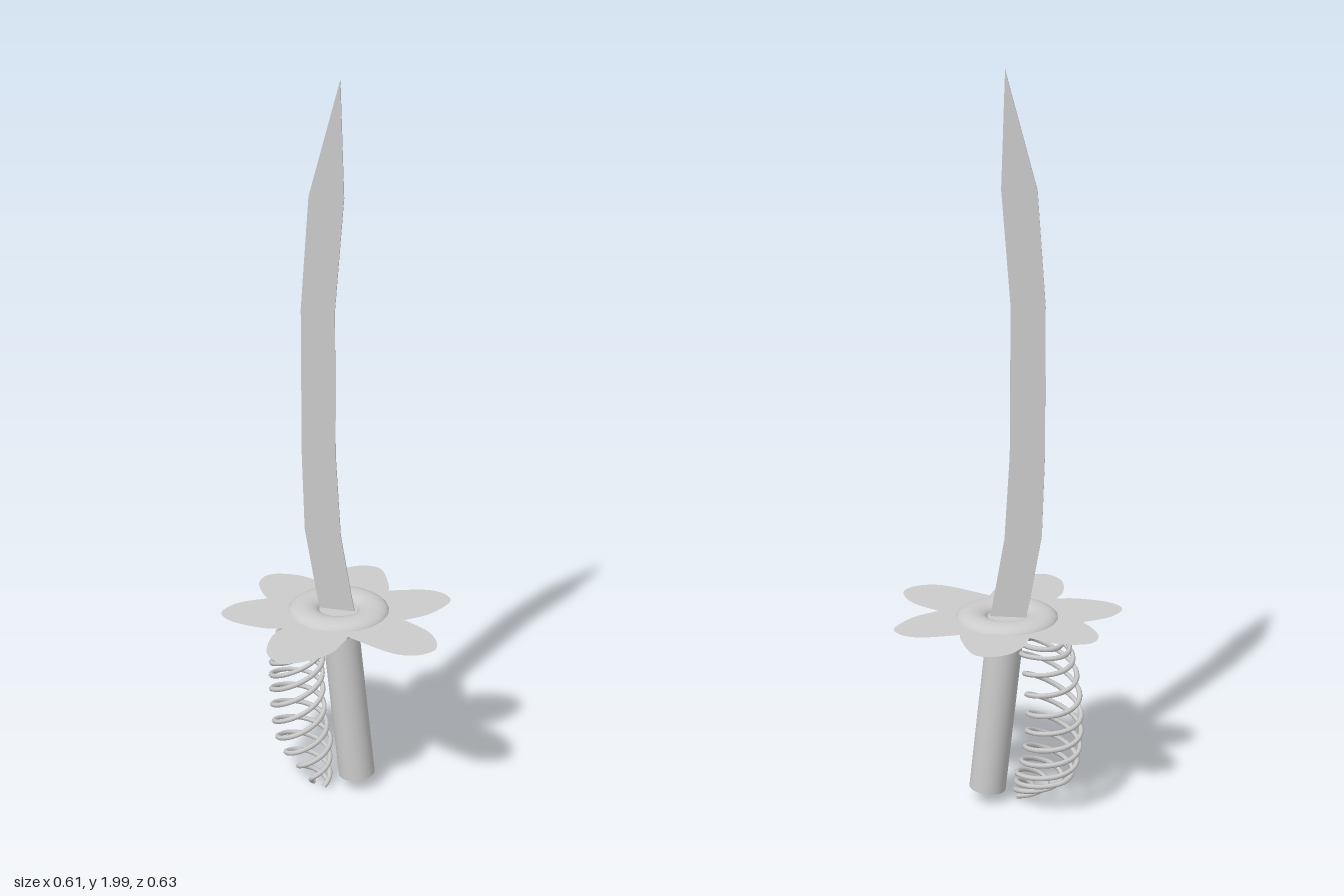
import * as THREE from 'three';

const AXIS_Z = -0.025; // blade, ring and grip share this depth
const V = (x, y, z) => new THREE.Vector3(x, y, z);

export function createModel() {
  const group = new THREE.Group();
  const grey = new THREE.MeshStandardMaterial({ color: 0xcccccc });
  const thin = new THREE.MeshStandardMaterial({ color: 0xcccccc, side: THREE.DoubleSide });
  const add = (name, geometry, material = grey) => {
    const mesh = new THREE.Mesh(geometry, material);
    mesh.name = name;
    group.add(mesh);
    return mesh;
  };

  // Curved blade, a thin plate
  const outline = [
    [-0.05, 0.54], [0.047, 0.54], [0.035, 0.6], [0.006, 0.77], [-0.008, 1.0], [-0.01, 1.4],
    [0.014, 1.7], [0.004, 2.0], [-0.078, 1.7], [-0.1, 1.4], [-0.1, 1.0], [-0.093, 0.78], [-0.062, 0.6],
  ];
  const bladeShape = new THREE.Shape(outline.map(([x, y]) => new THREE.Vector2(x, y)));
  const blade = new THREE.ExtrudeGeometry(bladeShape, { depth: 0.004, bevelEnabled: false });
  add('blade', blade.translate(0, 0, AXIS_Z - 0.002));

  // Flower guard: each petal runs from one notch to the next, points as [x, z]
  const petals = [
    [[0.18, -0.195], [0.225, -0.2], [0.265, -0.183], [0.284, -0.14], [0.245, -0.057], [0.187, -0.005]],
    [[0.245, 0.03], [0.28, 0.065], [0.302, 0.115], [0.297, 0.155], [0.255, 0.187], [0.19, 0.187], [0.065, 0.128]],
    [[0.045, 0.225], [0, 0.28], [-0.045, 0.31], [-0.08, 0.31], [-0.12, 0.265], [-0.132, 0.18], [-0.117, 0.123]],
    [[-0.17, 0.132], [-0.26, 0.115], [-0.302, 0.07], [-0.275, 0.005], [-0.205, -0.042]],
    [[-0.235, -0.085], [-0.255, -0.14], [-0.24, -0.188], [-0.19, -0.204], [-0.135, -0.198], [-0.077, -0.17]],
    [[-0.068, -0.23], [-0.04, -0.285], [0.013, -0.312], [0.06, -0.292], [0.1, -0.2], [0.105, -0.17]],
  ];
  const flower = new THREE.Shape();
  flower.moveTo(0.105, 0.17);
  for (const petal of petals) flower.splineThru(petal.map(([x, z]) => new THREE.Vector2(x, -z)));
  add('flowerGuard', new THREE.ShapeGeometry(flower, 4).rotateX(-Math.PI / 2).translate(0, 0.55, 0), thin);

  // Flattened ring around the foot of the blade
  const ring = new THREE.TorusGeometry(0.095, 0.045, 16, 20).rotateX(Math.PI / 2);
  add('guardRing', ring.scale(1, 0.56, 1).translate(0, 0.543, AXIS_Z));

  // Leaning grip
  const top = V(0, 0.545, AXIS_Z), bottom = V(0.053, 0.05, AXIS_Z);
  const grip = add('grip', new THREE.CylinderGeometry(0.05, 0.05, top.distanceTo(bottom), 24));
  grip.position.copy(top).add(bottom).multiplyScalar(0.5);
  grip.quaternion.setFromUnitVectors(V(0, 1, 0), top.clone().sub(bottom).normalize());

  // Hand guard of tendrils coiling around a bowed path
  const bow = new THREE.CatmullRomCurve3([
    V(-0.07, 0.54, -0.02), V(-0.105, 0.46, -0.025), V(-0.135, 0.3, -0.085),
    V(-0.115, 0.14, -0.065), V(-0.04, 0.02, 0.005),
  ]);
  const strands = 3, turns = 4.5;
  for (let s = 0; s < strands; s++) {
    const points = [];
    for (let i = 0; i <= 90; i++) {
      const t = i / 90;
      const angle = 2 * Math.PI * (turns * t + s / strands);
      const radius = 0.072 * Math.min(1, 0.3 + 5 * t, 0.3 + 3.5 * (1 - t));
      const p = bow.getPoint(t);
      const slant = 0.25 * radius * Math.cos(angle) * (1 - t * t);
      points.push(p.add(V(radius * Math.cos(angle), slant, radius * Math.sin(angle))));
    }
    const path = new THREE.CatmullRomCurve3(points);
    add('tendril' + (s + 1), new THREE.TubeGeometry(path, 200, 0.007, 6), thin);
  }
  return group;
}
